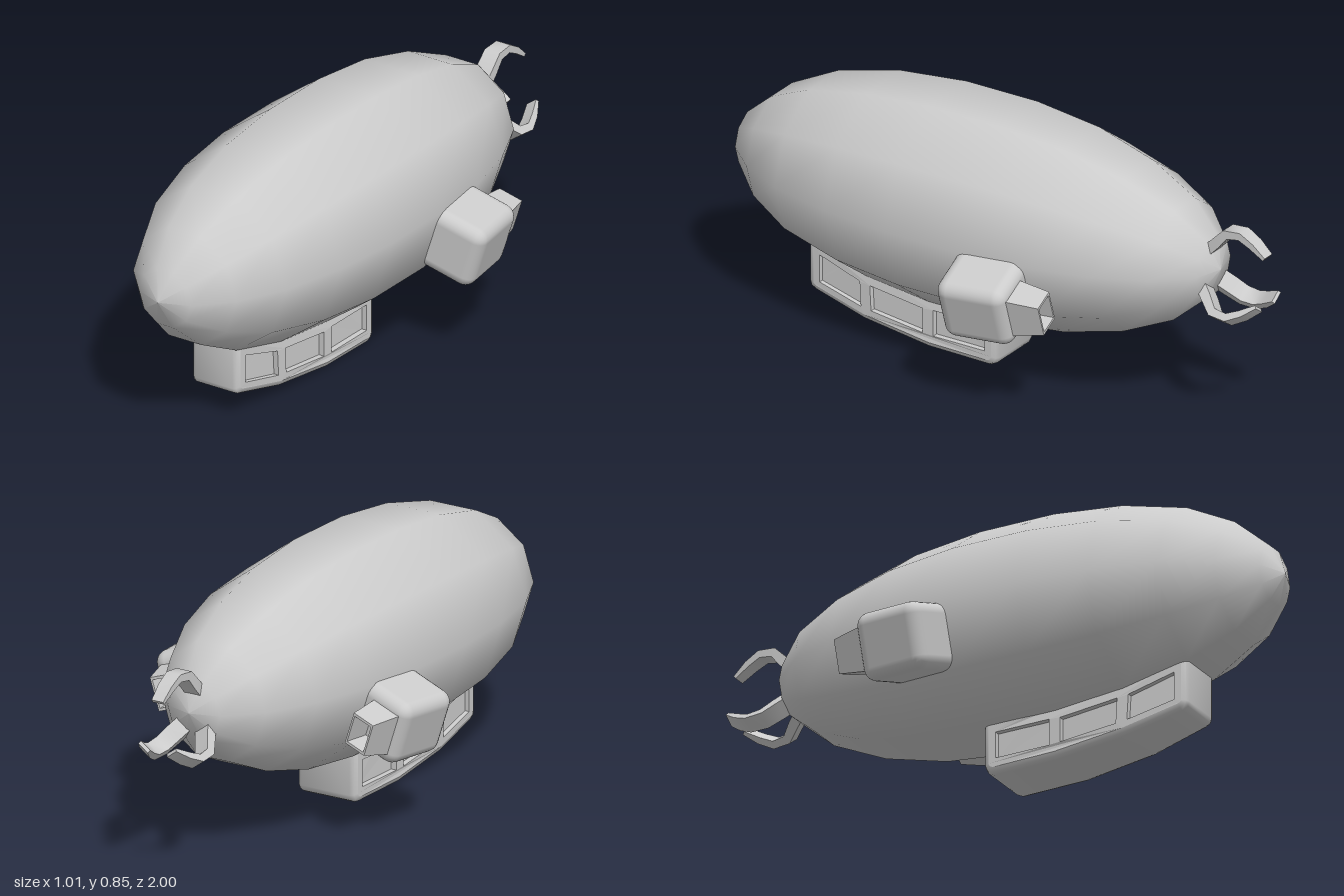
import * as THREE from 'three';
import { toCreasedNormals } from 'three/addons/utils/BufferGeometryUtils.js';
import { RoundedBoxGeometry } from 'three/addons/geometries/RoundedBoxGeometry.js';

const grey = new THREE.MeshStandardMaterial({ color: 0xcccccc });
const AXIS_Y = 0.51; // height of the hull's long axis
const DEG = Math.PI / 180;

function part(name, geometry) {
  const mesh = new THREE.Mesh(geometry, grey);
  mesh.name = name;
  return mesh;
}

// Skin through closed rings of [x, y, z], counter-clockwise about the direction of travel
function loft(rings, capped, crease) {
  const n = rings[0].length, index = [];
  for (let i = 0; i < rings.length - 1; i++) {
    for (let j = 0; j < n; j++) {
      const a = i * n + j, b = i * n + (j + 1) % n;
      index.push(a, b, b + n, a, b + n, a + n);
    }
  }
  if (capped) {
    const last = (rings.length - 1) * n;
    for (let j = 1; j < n - 1; j++) index.push(0, j + 1, j, last, last + j, last + j + 1);
  }
  const geo = new THREE.BufferGeometry();
  geo.setAttribute('position', new THREE.Float32BufferAttribute(rings.flat(2), 3));
  geo.setIndex(index);
  return toCreasedNormals(geo, crease);
}

// Ten-sided envelope
function makeHull() {
  const profile = [
    [0, -0.82], [0.1, -0.79], [0.2, -0.68], [0.28, -0.505], [0.335, -0.29], [0.36, -0.05],
    [0.36, 0.22], [0.335, 0.465], [0.28, 0.69], [0.2, 0.85], [0.1, 0.96], [0, 1],
  ].map(([r, z]) => new THREE.Vector2(r, z));
  const geo = new THREE.LatheGeometry(profile, 10, Math.PI / 2);
  geo.rotateX(Math.PI / 2);
  const hull = part('hull', geo);
  hull.position.y = AXIS_Y;
  return hull;
}

// Move a clockwise outline inwards by d
function inset(pts, d) {
  const normal = (p, q) => {
    const l = Math.hypot(q[0] - p[0], q[1] - p[1]);
    return [(q[1] - p[1]) / l, (p[0] - q[0]) / l];
  };
  return pts.map((p, i) => {
    const a = normal(pts.at(i - 1), p), b = normal(p, pts[(i + 1) % pts.length]);
    const k = d / (1 + a[0] * b[0] + a[1] * b[1]);
    return [p[0] + (a[0] + b[0]) * k, p[1] + (a[1] + b[1]) * k];
  });
}

// The cabin narrows towards the nose
const taper = z => 1 - 0.22 * (Math.max(0, z - 0.2) / 0.49) ** 2;

// Extrude a [z, y] outline along x between two stations, following the taper
function cabinSlab(outline, holes, x0, x1) {
  const toPoints = list => list.map(([z, y]) => new THREE.Vector2(z, y));
  const shape = new THREE.Shape(toPoints(outline));
  shape.holes = holes.map(h => new THREE.Path(toPoints(h)));
  const geo = new THREE.ExtrudeGeometry(shape, { depth: x1 - x0, bevelEnabled: false });
  geo.rotateY(-Math.PI / 2).translate(x1, 0, 0);
  const p = geo.attributes.position;
  for (let i = 0; i < p.count; i++) p.setX(i, p.getX(i) * taper(p.getZ(i)));
  geo.computeVertexNormals();
  return geo;
}

// Cabin under the hull with three recessed windows on each side
function makeCabin() {
  const cabin = new THREE.Group();
  cabin.name = 'cabin';
  const outline = [
    [0.69, 0.28], [0.69, 0.105], [0.685, 0.09], [0.665, 0.079], [0.47, 0.033], [0.22, 0.003],
    [-0.01, 0], [-0.03, 0.01], [-0.04, 0.03], [-0.04, 0.28], [0.22, 0.28], [0.47, 0.28],
  ];
  const windows = [
    [[0.645, 0.21], [0.485, 0.165], [0.48, 0.078], [0.645, 0.115]],
    [[0.445, 0.16], [0.24, 0.137], [0.24, 0.052], [0.44, 0.073]],
    [[0.2, 0.14], [0.005, 0.14], [0.005, 0.05], [0.2, 0.05]],
  ];
  const W = 0.111, D = 0.02;
  // rounded rim: [half width, inset]
  const stations = [[-W, D], [-W + 0.006, 0.006], [-W + D, 0], [W - D, 0], [W - 0.006, 0.006], [W, D]];
  const rings = stations.map(([x, d]) => inset(outline, d).map(([z, y]) => [x * taper(z), y, z]));
  cabin.add(part('cabinShell', loft(rings, false, 0.9)));
  const side = inset(outline, D);
  cabin.add(part('leftWindowFrames', cabinSlab(side, windows, W - D, W)));
  cabin.add(part('rightWindowFrames', cabinSlab(side, windows, -W, -W + D)));
  cabin.add(part('windowPanes', cabinSlab(side, [], -W + D - 0.001, W - D + 0.001)));
  return cabin;
}

// Engine pod on a lower side facet, with a hollow square exhaust behind it
function makeEngine(side) {
  const engine = new THREE.Group();
  engine.name = side > 0 ? 'leftEngine' : 'rightEngine';
  const pod = part('enginePod', new RoundedBoxGeometry(0.25, 0.222, 0.245, 3, 0.042));
  pod.position.x = side * 0.037;

  const profile = [[1.3, 0], [1, 0.115], [0.84, 0.115], [0.75, 0.03], [0, 0.03]]
    .map(([h, y]) => new THREE.Vector2(h * Math.SQRT2, y));
  const geo = new THREE.LatheGeometry(profile, 4, Math.PI / 4);
  geo.rotateX(-Math.PI / 2).scale(0.042, 0.056, 1);
  const exhaust = part('exhaust', toCreasedNormals(geo, 0.3));
  exhaust.position.set(side * 0.08, 0, -0.112);

  engine.add(pod, exhaust);
  const out = 0.335, a = 18 * DEG;
  engine.position.set(side * out * Math.cos(a), AXIS_Y - out * Math.sin(a), -0.165);
  engine.rotation.set(0, side * 7 * DEG, -side * a, 'ZYX');
  return engine;
}

// Curved tail claw: path of [z, radius, half width, half thickness]
function makeClaw(angle) {
  const path = [
    [-0.765, 0.05, 0.03, 0.018], [-0.815, 0.1, 0.03, 0.017], [-0.853, 0.141, 0.029, 0.015],
    [-0.905, 0.147, 0.027, 0.013], [-0.95, 0.123, 0.025, 0.011], [-0.996, 0.088, 0.022, 0.006],
  ];
  const rings = path.map(([z, r, w, t], i) => {
    const p = path[Math.max(i - 1, 0)], q = path[Math.min(i + 1, path.length - 1)];
    const l = Math.hypot(q[0] - p[0], q[1] - p[1]);
    const nz = t * (q[1] - p[1]) / l, nr = -t * (q[0] - p[0]) / l;
    return [[-w, r - nr, z - nz], [-w, r + nr, z + nz], [w, r + nr, z + nz], [w, r - nr, z - nz]];
  });
  const claw = part('tailClaw', loft(rings, true, 0.9));
  claw.position.y = AXIS_Y;
  claw.rotation.z = angle;
  return claw;
}

export function createModel() {
  const model = new THREE.Group();
  model.name = 'airship';
  model.add(makeHull(), makeCabin());
  for (const side of [1, -1]) model.add(makeEngine(side));
  for (const angle of [0, 144, -144]) model.add(makeClaw(angle * DEG));
  return model;
}
